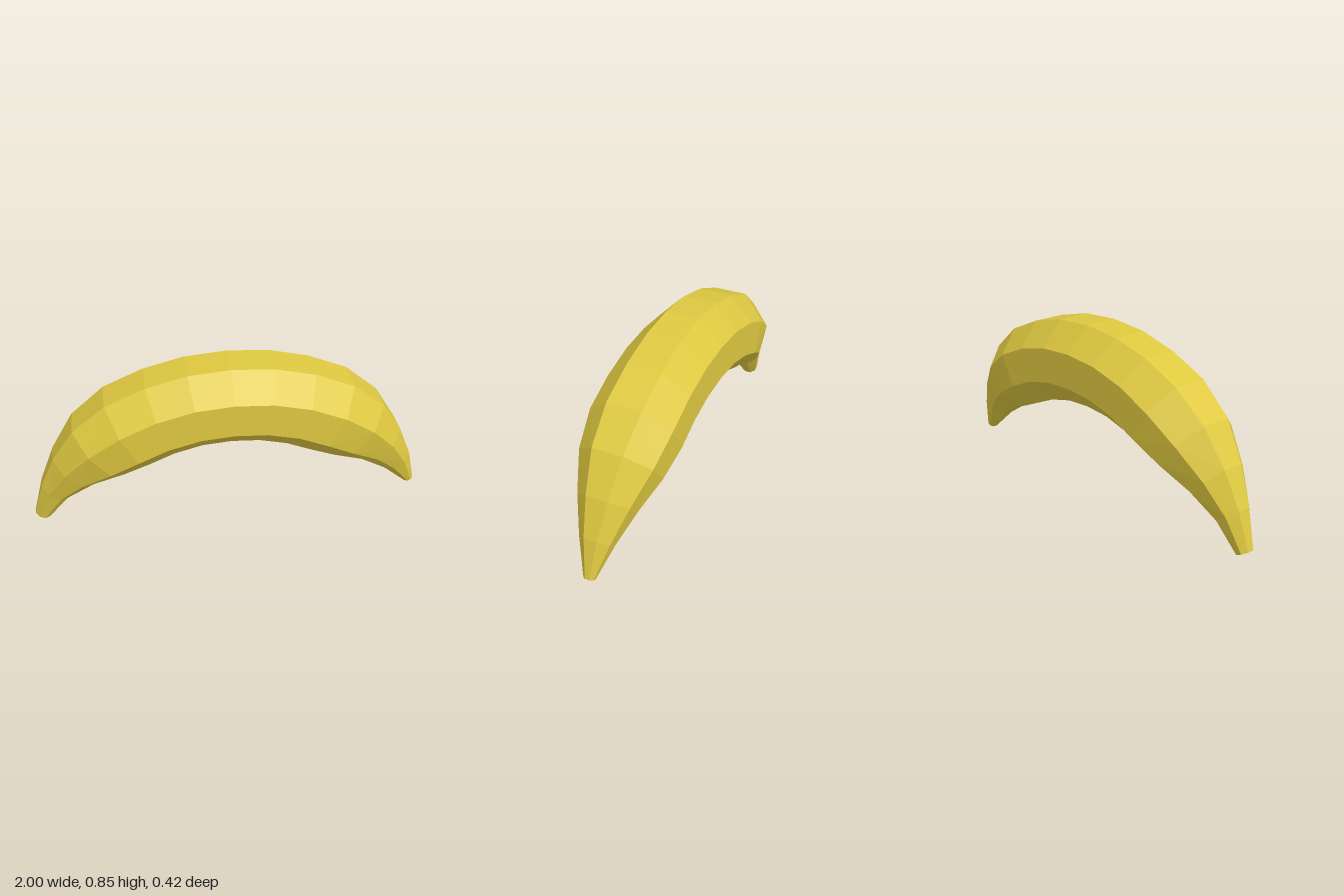
import * as THREE from 'three';

const SIDES = 8;

// Half the fruit from the middle to a tip: outer x, y, inner x, y, half depth in z
const HALF = [
  [0, 0.855, 0, 0.44, 0.208],
  [0.205, 0.84, 0.142, 0.43, 0.208],
  [0.405, 0.79, 0.28, 0.395, 0.208],
  [0.6, 0.705, 0.4, 0.343, 0.208],
  [0.763, 0.57, 0.53, 0.285, 0.184],
  [0.873, 0.395, 0.69, 0.22, 0.13],
  [0.948, 0.22, 0.825, 0.13, 0.078],
];
const STEM_TIP = [-1, 0.035, -0.932, 0.003, 0.04];
const BLOSSOM_TIP = [0.997, 0.03, 0.953, 0.01, 0.026];

// Regular octagon stretched between the outer and inner edge
function makeRing([ox, oy, ix, iy, depth]) {
  const ring = [];
  const r = 1 / Math.cos(Math.PI / SIDES);
  for (let k = 0; k < SIDES; k++) {
    const a = ((k + 0.5) * 2 * Math.PI) / SIDES;
    const n = (r * Math.cos(a)) / 2;
    ring.push([(ox + ix) / 2 + (ox - ix) * n, (oy + iy) / 2 + (oy - iy) * n, depth * r * Math.sin(a)]);
  }
  return ring;
}

// Unshared corners give flat facets
function makeMesh(name, triangles, material) {
  const geometry = new THREE.BufferGeometry();
  geometry.setAttribute('position', new THREE.Float32BufferAttribute(triangles.flat(2), 3));
  geometry.computeVertexNormals();
  const mesh = new THREE.Mesh(geometry, material);
  mesh.name = name;
  return mesh;
}

function makeCap(ring, flip) {
  const triangles = [];
  for (let k = 1; k < SIDES - 1; k++) {
    triangles.push(flip ? [ring[0], ring[k + 1], ring[k]] : [ring[0], ring[k], ring[k + 1]]);
  }
  return triangles;
}

export function createModel() {
  const group = new THREE.Group();
  group.name = 'banana';
  const peel = new THREE.MeshStandardMaterial({ color: 0xdec840 });
  peel.name = 'banana yellow';

  // Mirror the half profile and close it with the two different tips
  const mirrored = HALF.slice(1).reverse().map(([ox, oy, ix, iy, d]) => [-ox, oy, -ix, iy, d]);
  const rings = [STEM_TIP, ...mirrored, ...HALF, BLOSSOM_TIP].map(makeRing);

  // Faceted peel
  const skin = [];
  for (let i = 0; i < rings.length - 1; i++) {
    for (let k = 0; k < SIDES; k++) {
      const j = (k + 1) % SIDES;
      const a = rings[i][k], b = rings[i][j], c = rings[i + 1][k], d = rings[i + 1][j];
      skin.push([a, b, c], [b, d, c]);
    }
  }
  group.add(makeMesh('peel', skin, peel));

  // End faces
  group.add(makeMesh('stemEnd', makeCap(rings[0], true), peel));
  group.add(makeMesh('blossomEnd', makeCap(rings[rings.length - 1], false), peel));
  return group;
}
